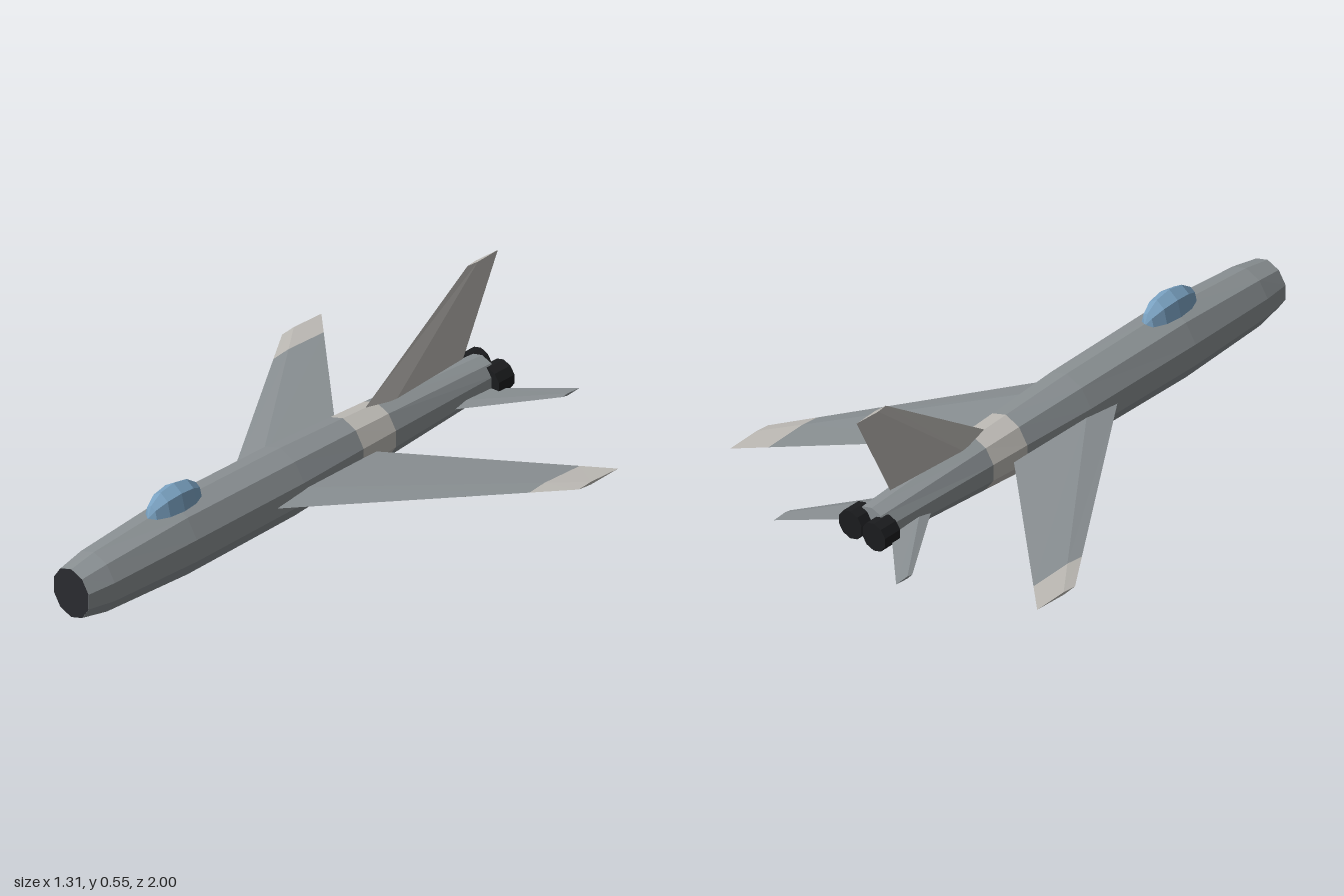
import * as THREE from 'three';

const mat = (color) => new THREE.MeshStandardMaterial({ color, flatShading: true });
const grey = mat(0x8a9093), pale = mat(0xbdbab5), black = mat(0x1b1c1e),
  dark = mat(0x2a2b30), glass = mat(0x7aa2c2);

// Skin a list of equal-length point rings and close both ends
function loft(rings) {
  const n = rings[0].length, index = [];
  rings.slice(1).forEach((_, r) => {
    for (let i = 0; i < n; i++) {
      const j = (i + 1) % n, a = r * n, b = a + n;
      index.push(a + i, a + j, b + j, a + i, b + j, b + i);
    }
  });
  const end = (rings.length - 1) * n;
  for (let i = 1; i < n - 1; i++) {
    index.push(0, i + 1, i, end, end + i, end + i + 1);
  }
  const geo = new THREE.BufferGeometry();
  geo.setAttribute('position', new THREE.Float32BufferAttribute(rings.flat(2), 3));
  geo.setIndex(index);
  geo.computeVertexNormals();
  return geo;
}

// Ten-sided body ring from z, half width, bottom and top
function bodyRing([z, rx, bottom, top]) {
  return Array.from({ length: 10 }, (_, i) => {
    const a = Math.PI / 2 + i * Math.PI / 5;
    return [rx * Math.cos(a), (top + bottom) / 2 + (top - bottom) / 2 * Math.sin(a), z];
  });
}

// Diamond-section surface; each section is [span, leading z, trailing z, half thickness, height]
function foil(sections, place, flip) {
  return loft(sections.map(([s, le, te, t, h]) => {
    const ridge = le + (te - le) * 0.3;
    const ring = [[s, h + t, ridge], [s, h, le], [s, h - t, ridge], [s, h, te]]
      .map((p) => place(...p));
    return flip ? ring.reverse() : ring;
  }));
}

const mix = (a, b, k) => a.map((v, i) => v + (b[i] - v) * k);

export function createModel() {
  const model = new THREE.Group();
  const add = (name, geo, material, x = 0, y = 0, z = 0) => {
    const mesh = new THREE.Mesh(geo, material);
    mesh.name = name;
    mesh.position.set(x, y, z);
    model.add(mesh);
    return mesh;
  };

  // Fuselage, tail to nose, with a pale band
  const body = [
    [-0.83, 0.068, 0.068, 0.198], [-0.36, 0.09, 0.036, 0.23], [-0.21, 0.096, 0.025, 0.238],
    [0.07, 0.111, 0.008, 0.252], [0.55, 0.114, 0.002, 0.259], [0.9, 0.097, 0.018, 0.233],
    [1, 0.081, 0.038, 0.214],
  ].map(bodyRing);
  add('rearFuselage', loft(body.slice(0, 2)), grey);
  add('fuselageBand', loft(body.slice(1, 3)), pale);
  add('frontFuselage', loft(body.slice(2)), grey);

  // Dark air intake in the nose
  add('noseIntake', new THREE.CircleGeometry(1, 10, Math.PI / 2), dark, 0, 0.126, 1.001)
    .scale.set(0.081, 0.088, 1);

  // Canopy: upper half of a faceted ellipsoid with its poles fore and aft
  const dome = new THREE.SphereGeometry(1, 8, 6).rotateX(Math.PI / 2);
  const p = dome.attributes.position;
  for (let i = 0; i < p.count; i++) p.setY(i, Math.max(p.getY(i), 0));
  add('canopy', dome, glass, 0, 0.25, 0.545).scale.set(0.051, 0.082, 0.115);

  // Swept, drooping wings with pale tips, and swept tailplanes
  const root = [0.08, 0.228, -0.261, 0.017, 0.129];
  const tip = [0.655, -0.6, -0.775, 0.005, 0.089];
  const joint = mix(root, tip, (0.565 - 0.08) / 0.575);
  for (const [side, s] of [['left', 1], ['right', -1]]) {
    const place = (span, y, z) => [s * span, y, z];
    add(side + 'Wing', foil([root, joint], place, s < 0), grey);
    add(side + 'WingTip', foil([joint, tip], place, s < 0), pale);
    add(side + 'WingPylon', new THREE.BoxGeometry(0.014, 0.05, 0.014), pale, s * 0.39, 0.082, -0.36);
    add(side + 'Tailplane', foil([
      [0.04, -0.585, -0.785, 0.012, 0.115], [0.261, -0.925, -1, 0.004, 0.115],
    ], place, s < 0), grey);

    // Paired exhaust nozzles
    add(side + 'Nozzle', new THREE.CylinderGeometry(0.051, 0.051, 0.07, 10).rotateX(Math.PI / 2),
      black, s * 0.05, 0.133, -0.84);
  }

  // Upright tail fin
  add('tailFin', foil([
    [0.222, -0.295, -0.745, 0.02, 0], [0.555, -0.765, -0.9, 0.005, 0],
  ], (span, t, z) => [t, span, z], true), pale);

  return model;
}
